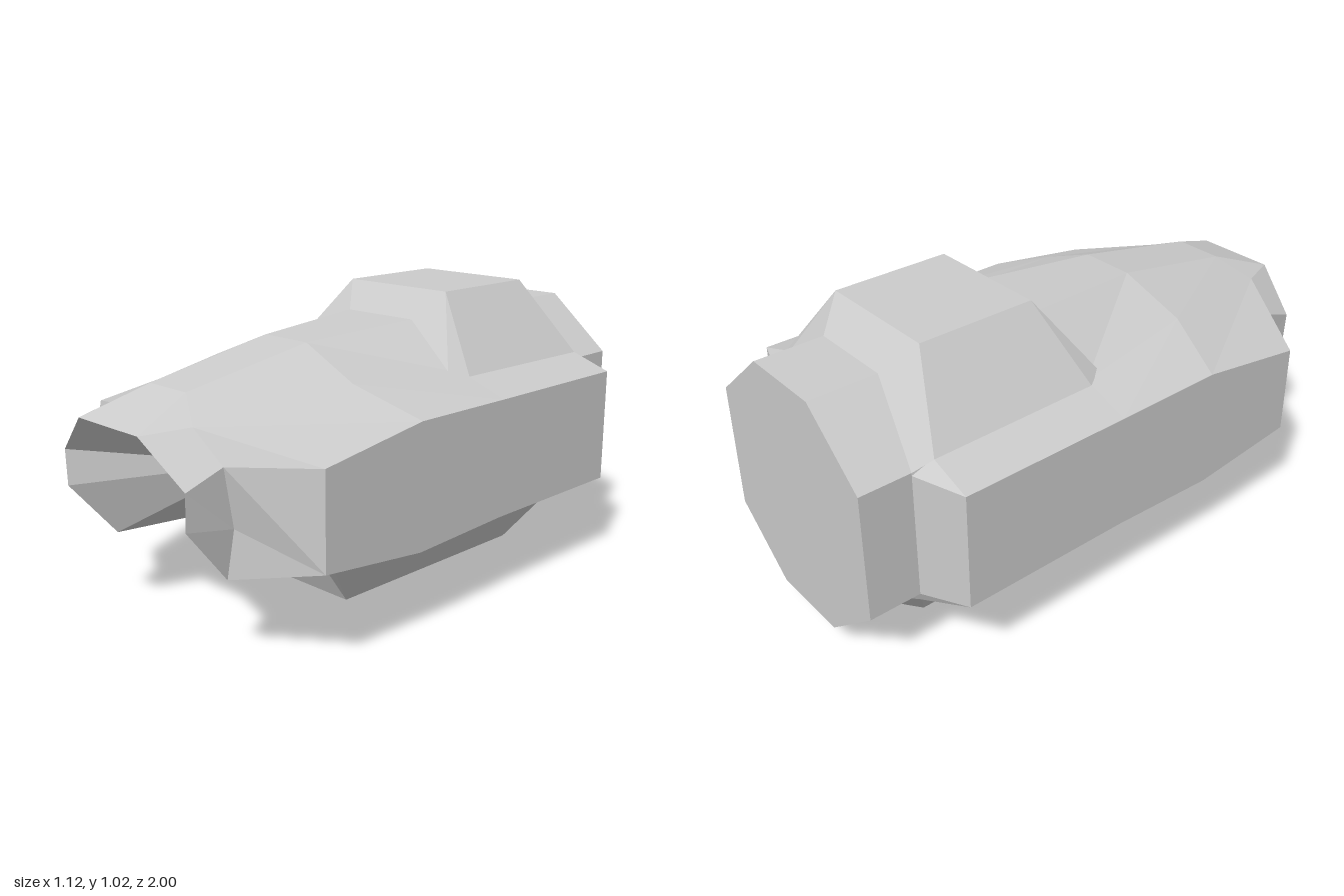
import * as THREE from 'three';

const material = new THREE.MeshStandardMaterial({ color: 0xcccccc, flatShading: true });

// Mesh from flat polygons on the +x half, mirrored to the -x half
function mirroredMesh(name, polygons) {
  const positions = [];
  for (const poly of polygons) {
    for (let i = 1; i < poly.length - 1; i++) {
      const [a, b, c] = [poly[0], poly[i], poly[i + 1]];
      positions.push(...a, ...b, ...c);
      for (const [x, y, z] of [a, c, b]) positions.push(-x, y, z);
    }
  }
  const geometry = new THREE.BufferGeometry();
  geometry.setAttribute('position', new THREE.Float32BufferAttribute(positions, 3));
  geometry.computeVertexNormals();
  const mesh = new THREE.Mesh(geometry, material);
  mesh.name = name;
  return mesh;
}

// Quads between half cross-sections listed front to back, points top to bottom
function loft(sections) {
  const quads = [];
  for (let i = 0; i < sections.length - 1; i++) {
    const [s, n] = [sections[i], sections[i + 1]];
    for (let j = 0; j < s.length - 1; j++) quads.push([s[j], s[j + 1], n[j + 1], n[j]]);
  }
  return quads;
}

const at = (z, points) => points.map(([x, y]) => [x, y, z]);
const center = ([, y, z]) => [0, y, z];

export function createModel() {
  const group = new THREE.Group();

  // Shared points around the nose
  const brow = [0.09, 0.82, 0.78], browSide = [0.21, 0.75, 0.85], cheek = [0.32, 0.65, 0.83];
  const shoulder = [0.56, 0.66, 0.66], bilge = [0.56, 0.34, 0.66];
  const jaw = [0.285, 0.285, 0.8], cheekLow = [0.31, 0.45, 0.79];
  const lipTop = [0.15, 0.74, 1], lipSide = [0.31, 0.6, 0.96], lipLow = [0.305, 0.48, 0.96];
  const throat = [0, 0.51, 0.45];
  const keelJoin = [0.34, 0.235, 0.42], keelKnee = [0.308, 0.188, 0.376], keelEdge = [0.18, 0, 0.2];

  // Upper hull, narrowing to the tail block
  const tail = [[0, 0.93], [0.15, 0.93], [0.385, 0.73], [0.385, 0.72], [0.385, 0.28], [0.3, 0.21]];
  const hull = [
    [center(brow), brow, browSide, shoulder, bilge, jaw],
    [[0, 0.905, 0.3], [0.1, 0.905, 0.3], [0.33, 0.81, 0.32], [0.56, 0.72, 0.25], [0.56, 0.295, 0.25], keelJoin],
    at(-0.15, [[0, 0.93], [0.15, 0.93], [0.39, 0.777], [0.56, 0.717], [0.56, 0.31], [0.34, 0.22]]),
    at(-0.76, [[0, 0.93], [0.15, 0.93], [0.41, 0.767], [0.56, 0.715], [0.56, 0.31], [0.33, 0.21]]),
    at(-0.82, tail),
    at(-1, tail),
  ];
  group.add(mirroredMesh('hull', loft(hull)));

  // Keel under the hull
  const tailKeel = [[0.3, 0.21], [0.25, 0.168], [0.15, 0.085], [0, 0.085]];
  const keel = [
    [keelJoin, keelKnee, keelEdge, center(keelEdge)],
    at(-0.15, [[0.34, 0.22], [0.3, 0.175], [0.18, 0], [0, 0]]),
    [[0.33, 0.21, -0.76], [0.3, 0.165, -0.76], [0.18, 0, -0.68], [0, 0, -0.68]],
    at(-0.81, tailKeel),
    at(-1, tailKeel),
  ];
  group.add(mirroredMesh('keel', loft(keel)));

  // Flat end of the tail block
  group.add(mirroredMesh('tailCap', [at(-1, [...tail, ...tailKeel.slice(1)])]));

  // Faceted nose around the opening
  group.add(mirroredMesh('nose', [
    [center(lipTop), lipTop, brow, center(brow)],
    [lipTop, browSide, brow],
    [lipTop, lipSide, browSide],
    [lipSide, cheek, browSide],
    [browSide, cheek, shoulder],
    [lipSide, lipLow, cheekLow, cheek],
    [lipLow, jaw, cheekLow],
    [cheek, cheekLow, bilge, shoulder],
    [cheekLow, jaw, bilge],
  ]));

  // Hollow mouth running back to a point, down to the keel
  const rim = [center(keelEdge), keelEdge, keelKnee, keelJoin, jaw, lipLow, lipSide, lipTop, center(lipTop)];
  group.add(mirroredMesh('mouth', rim.slice(1).map((p, i) => [throat, rim[i], p])));

  // Raised deck hump
  const roofFront = [0.225, 1.025, -0.24], roofBack = [0.225, 1.025, -0.66];
  const baseFront = [0.15, 0.93, -0.15], corner = [0.37, 0.79, -0.09];
  const sideFront = [0.415, 0.765, -0.15], sideBack = [0.415, 0.765, -0.76];
  const baseBack = [0.15, 0.93, -0.76], heel = [0.385, 0.73, -0.82];
  group.add(mirroredMesh('deckHump', [
    [center(roofFront), roofFront, roofBack, center(roofBack)],
    [center(baseFront), baseFront, roofFront, center(roofFront)],
    [baseFront, corner, roofFront],
    [corner, sideFront, roofFront],
    [sideFront, sideBack, roofBack, roofFront],
    [roofBack, sideBack, heel, baseBack],
    [center(roofBack), roofBack, baseBack, center(baseBack)],
  ]));

  return group;
}
